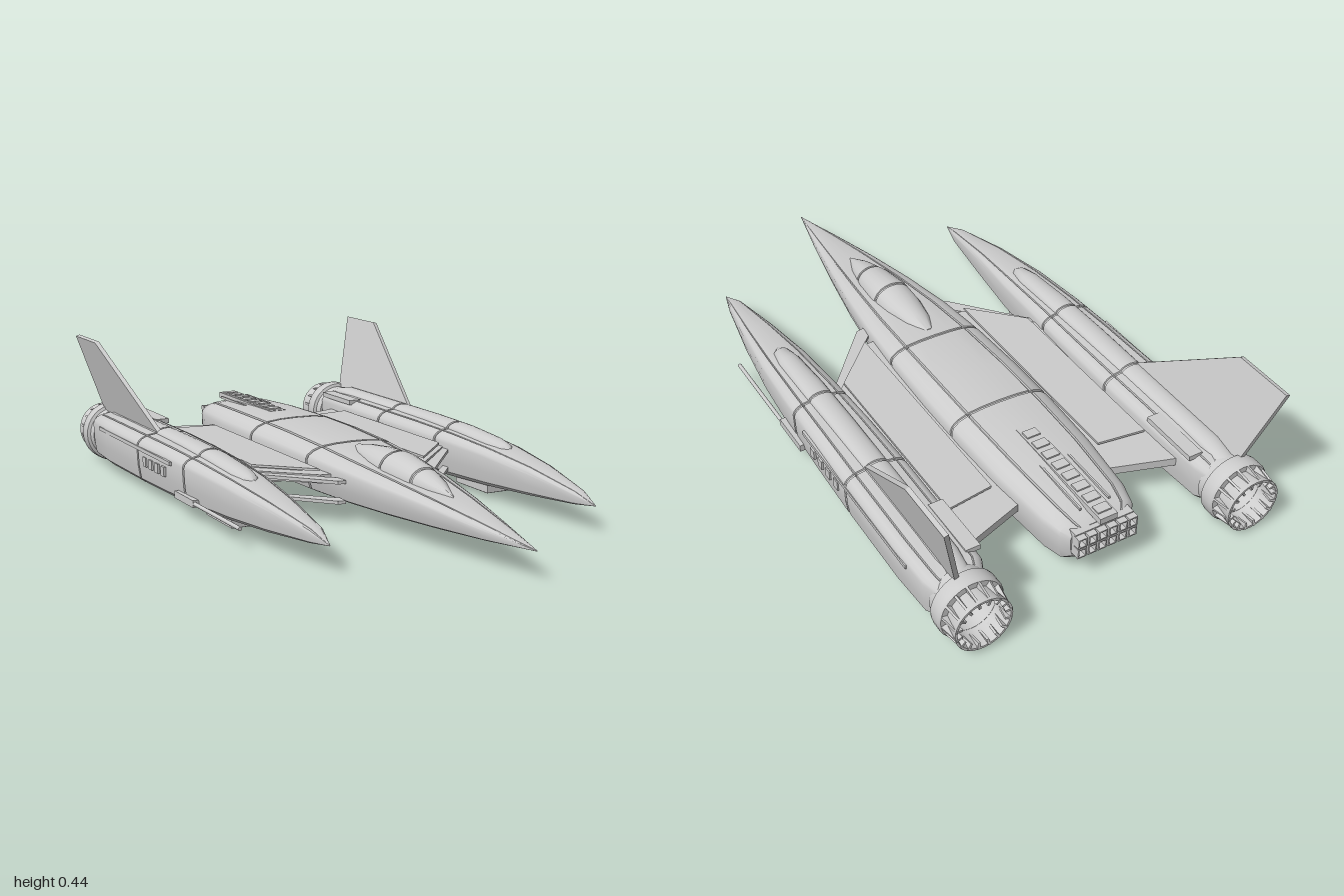
import * as THREE from 'three';
import { toCreasedNormals } from 'three/addons/utils/BufferGeometryUtils.js';

const hull = new THREE.MeshStandardMaterial({ color: 0xcccccc, side: THREE.DoubleSide });
hull.name = 'hull grey';

// Half cross-sections, bottom centre to top centre: [width, height about the chine]
const HULL = [[0, -1], [0.7, -1], [0.9, -0.86], [0.97, -0.5], [1, 0], [0.96, 0.32], [0.85, 0.62],
  [0.68, 0.83], [0.67, 0.7], [0.64, 0.7], [0.63, 0.87], [0.35, 0.97], [0, 1]];
const ROUND = [[0, -1], [1, -1], [1, 0], [0.95, 0.31], [0.81, 0.59], [0.59, 0.81], [0.31, 0.95], [0, 1]];

// Loft through stations [z, centreX, halfWidth, yBottom, yChine, yTop], listed front to back
function loft(stations, half) {
  const profile = [...half, ...half.slice(1, -1).reverse().map(([u, v]) => [-u, v])];
  const n = profile.length, pos = [], idx = [];
  for (const [z, cx, w, yb, yc, yt] of stations)
    for (const [u, v] of profile) pos.push(cx + u * w, yc + v * (v < 0 ? yc - yb : yt - yc), z);
  for (let i = 0; i < stations.length - 1; i++)
    for (let j = 0; j < n; j++) {
      const k = (j + 1) % n, a = i * n + j, b = i * n + k;
      idx.push(a, a + n, b, b, a + n, b + n);
    }
  const [z, cx, , , yc] = stations.at(-1), last = (stations.length - 1) * n, c = pos.length / 3;
  pos.push(cx, yc, z);
  for (let j = 0; j < n; j++) idx.push(c, last + (j + 1) % n, last + j);
  const g = new THREE.BufferGeometry();
  g.setAttribute('position', new THREE.Float32BufferAttribute(pos, 3));
  g.setIndex(idx);
  return toCreasedNormals(g, 0.6);
}

// Insert narrow recessed panel seams at the given z positions
function grooved(stations, seams, depth = 0.004) {
  const at = z => {
    const i = stations.findIndex(s => s[0] <= z), a = stations[i - 1], b = stations[i];
    const t = (a[0] - z) / (a[0] - b[0]);
    return a.map((v, k) => v + (b[k] - v) * t);
  };
  const extra = seams.flatMap(z => [0.005, 0.0035, -0.0035, -0.005].map((d, i) => {
    const s = at(z + d);
    if (i === 1 || i === 2) { s[2] -= depth; s[3] += depth; s[5] -= depth; }
    return s;
  }));
  return [...stations, ...extra].sort((a, b) => b[0] - a[0]);
}

// Horizontal plate from a plan outline of [x, z]
function plate(points, yTop, thick) {
  const shape = new THREE.Shape(points.map(([x, z]) => new THREE.Vector2(x, z)));
  return new THREE.ExtrudeGeometry(shape, { depth: thick, bevelEnabled: false }).rotateX(Math.PI / 2).translate(0, yTop, 0);
}

function add(parent, name, geometry, x = 0, y = 0, z = 0) {
  const m = new THREE.Mesh(geometry, hull);
  m.name = name;
  m.position.set(x, y, z);
  parent.add(m);
  return m;
}
const box = (w, h, d) => new THREE.BoxGeometry(w, h, d);

function buildFuselage(root) {
  const g = new THREE.Group();
  g.name = 'fuselage';
  root.add(g);
  add(g, 'body', loft(grooved([
    [0.99, 0, 0.001, 0.084, 0.085, 0.086], [0.8, 0, 0.043, 0.07, 0.1, 0.113],
    [0.6, 0, 0.083, 0.06, 0.118, 0.138], [0.4, 0, 0.118, 0.052, 0.132, 0.16],
    [0.2, 0, 0.145, 0.046, 0.144, 0.178], [0, 0, 0.159, 0.042, 0.15, 0.192],
    [-0.2, 0, 0.165, 0.04, 0.152, 0.2], [-0.4, 0, 0.165, 0.038, 0.152, 0.202],
    [-0.6, 0, 0.158, 0.036, 0.15, 0.2], [-0.8, 0, 0.138, 0.036, 0.147, 0.192],
    [-0.86, 0, 0.122, 0.042, 0.142, 0.182], [-0.885, 0, 0.1, 0.06, 0.135, 0.165],
  ], [0.02, -0.36]), HULL));
  add(g, 'canopy', loft(grooved([
    [0.6, 0, 0.002, 0.13, 0.135, 0.14], [0.52, 0, 0.034, 0.13, 0.145, 0.172],
    [0.42, 0, 0.056, 0.13, 0.152, 0.2], [0.32, 0, 0.066, 0.13, 0.158, 0.214],
    [0.22, 0, 0.06, 0.13, 0.165, 0.211], [0.13, 0, 0.044, 0.13, 0.17, 0.202],
    [0.06, 0, 0.02, 0.13, 0.17, 0.19],
  ], [0.3, 0.45]), ROUND));
  // Dorsal spine with ladder ribs
  add(g, 'dorsalStrip', box(0.056, 0.02, 0.42), 0, 0.192, -0.705);
  for (let i = 0; i < 8; i++) add(g, 'dorsalRib', box(0.044, 0.005, 0.03), 0, 0.204, -0.53 - i * 0.05);
  for (const s of [1, -1]) add(g, 'dorsalRail', box(0.006, 0.008, 0.2), s * 0.047, 0.195, -0.75);
  // Rear exhaust block: two rows of small vents
  add(g, 'exhaustBlock', box(0.19, 0.075, 0.03), 0, 0.125, -0.885);
  for (let r = 0; r < 2; r++)
    for (let i = 0; i < 6; i++) {
      const x = (i - 2.5) * 0.033, y = 0.107 + r * 0.036;
      for (const e of [1, -1]) {
        add(g, 'exhaustVent', box(0.028, 0.004, 0.022), x, y + e * 0.014, -0.908);
        add(g, 'exhaustVent', box(0.004, 0.03, 0.022), x + e * 0.012, y, -0.908);
      }
    }
}

function buildEngine(parent, x) {
  const g = new THREE.Group();
  g.name = 'engine';
  g.position.set(x, 0.1, 0);
  parent.add(g);
  const lathe = pts => toCreasedNormals(new THREE.LatheGeometry(
    pts.map(([r, z]) => new THREE.Vector2(r, -z)), 32).rotateX(-Math.PI / 2), 0.6);
  add(g, 'engineCollar', lathe([[0.06, -0.85], [0.085, -0.86], [0.088, -0.886], [0.098, -0.89],
    [0.1, -0.9], [0.1, -0.93], [0.095, -0.938], [0.07, -0.938]]));
  add(g, 'nozzle', lathe([[0.076, -0.93], [0.087, -0.998], [0.08, -0.998], [0.068, -0.92], [0.055, -0.885], [0.001, -0.88]]));
  // Nozzle petals
  for (let i = 0; i < 16; i++) {
    const a = (i + 0.5) * Math.PI / 8;
    const p = add(g, 'nozzlePetal', box(0.007, 0.02, 0.068).rotateX(-0.16),
      -Math.sin(a) * 0.08, Math.cos(a) * 0.08, -0.965);
    p.rotation.z = a;
  }
}

function buildSide(root, s) {
  const g = new THREE.Group();
  g.name = s > 0 ? 'leftSide' : 'rightSide';
  root.add(g);
  const mirror = st => st.map(([z, cx, ...r]) => [z, s * cx, ...r]);
  add(g, 'nacelle', loft(grooved(mirror([
    [0.68, 0.428, 0.001, 0.079, 0.08, 0.081], [0.6, 0.428, 0.023, 0.07, 0.098, 0.11],
    [0.4, 0.434, 0.052, 0.055, 0.123, 0.143], [0.2, 0.436, 0.075, 0.044, 0.138, 0.165],
    [0, 0.437, 0.087, 0.036, 0.145, 0.178], [-0.2, 0.437, 0.094, 0.03, 0.148, 0.184],
    [-0.4, 0.438, 0.098, 0.028, 0.15, 0.186], [-0.7, 0.44, 0.097, 0.028, 0.15, 0.186],
    [-0.84, 0.44, 0.09, 0.032, 0.148, 0.182], [-0.88, 0.44, 0.072, 0.045, 0.14, 0.165],
  ]), [-0.06, -0.41]), HULL));
  add(g, 'nacelleSpine', loft(grooved(mirror([
    [0.24, 0.436, 0.008, 0.14, 0.15, 0.163], [0.22, 0.436, 0.025, 0.14, 0.155, 0.175],
    [0.16, 0.436, 0.034, 0.14, 0.165, 0.185], [0, 0.436, 0.038, 0.14, 0.175, 0.196],
    [-0.2, 0.436, 0.038, 0.14, 0.18, 0.2], [-0.8, 0.436, 0.036, 0.14, 0.18, 0.2],
    [-0.88, 0.436, 0.03, 0.14, 0.165, 0.185],
  ]), [-0.06, -0.41]), ROUND));
  buildEngine(g, s * 0.438);

  // Canted tail fin
  const finShape = new THREE.Shape([[-0.4, 0], [-0.77, 0.257], [-0.965, 0.257], [-0.895, -0.02], [-0.4, -0.02]]
    .map(p => new THREE.Vector2(...p)));
  const fin = add(g, 'tailFin', new THREE.ExtrudeGeometry(finShape, { depth: 0.014, bevelEnabled: false })
    .rotateY(-Math.PI / 2).translate(0.007, 0, 0), s * 0.462, 0.188, 0);
  fin.rotation.z = -s * 0.278;

  // Wing bridge with raised top panel and leading-edge struts
  const plan = pts => pts.map(([x, z]) => [s * x, z]);
  add(g, 'wing', plate(plan([[0.13, 0.16], [0.18, 0.155], [0.36, -0.02], [0.36, -0.765], [0.13, -0.69]]), 0.132, 0.026));
  add(g, 'wingPanel', plate(plan([[0.18, 0.15], [0.33, 0], [0.33, -0.63], [0.18, -0.61]]), 0.149, 0.007));
  add(g, 'wingPanelMount', plate(plan([[0.2, 0.08], [0.31, -0.03], [0.31, -0.6], [0.2, -0.58]]), 0.144, 0.014));
  for (const y of [0.128, 0.068])
    add(g, 'leadingStrut', plate(plan([[0.14, 0.24], [0.165, 0.235], [0.36, 0.01], [0.36, -0.02], [0.14, 0.2]]), y, 0.01));
  add(g, 'rearStrut', box(0.24, 0.026, 0.045), s * 0.25, 0.075, -0.55);
  add(g, 'frontStrut', box(0.24, 0.014, 0.02), s * 0.25, 0.08, -0.06);
  for (const z of [-0.1, -0.14])
    add(g, 'strutPin', new THREE.CylinderGeometry(0.008, 0.008, 0.05, 12), s * 0.22, 0.09, z);

  // Belly pads, side rails and gun barrel
  for (const [z, d] of [[0.105, 0.18], [-0.63, 0.18]]) {
    add(g, 'bellyPad', box(0.1, 0.024, d), s * 0.436, 0.03, z);
    add(g, 'bellyPadCover', box(0.08, 0.006, d - 0.03), s * 0.436, 0.016, z);
  }
  add(g, 'innerRail', box(0.045, 0.016, 0.2), s * 0.366, 0.177, -0.72);
  add(g, 'gunBarrel', new THREE.CylinderGeometry(0.006, 0.006, 0.42, 12).rotateX(Math.PI / 2), s * 0.528, 0.058, 0.135);
  add(g, 'gunMount', box(0.025, 0.022, 0.14), s * 0.522, 0.058, -0.04);
  add(g, 'sideRail', box(0.008, 0.012, 0.62), s * 0.534, 0.145, -0.45);
  for (let i = 0; i < 4; i++) add(g, 'sideVent', box(0.008, 0.03, 0.025), s * 0.533, 0.11, -0.2 - i * 0.05);
}

export function createModel() {
  const root = new THREE.Group();
  root.name = 'spacecraft';
  buildFuselage(root);
  for (const s of [1, -1]) buildSide(root, s);
  return root;
}
